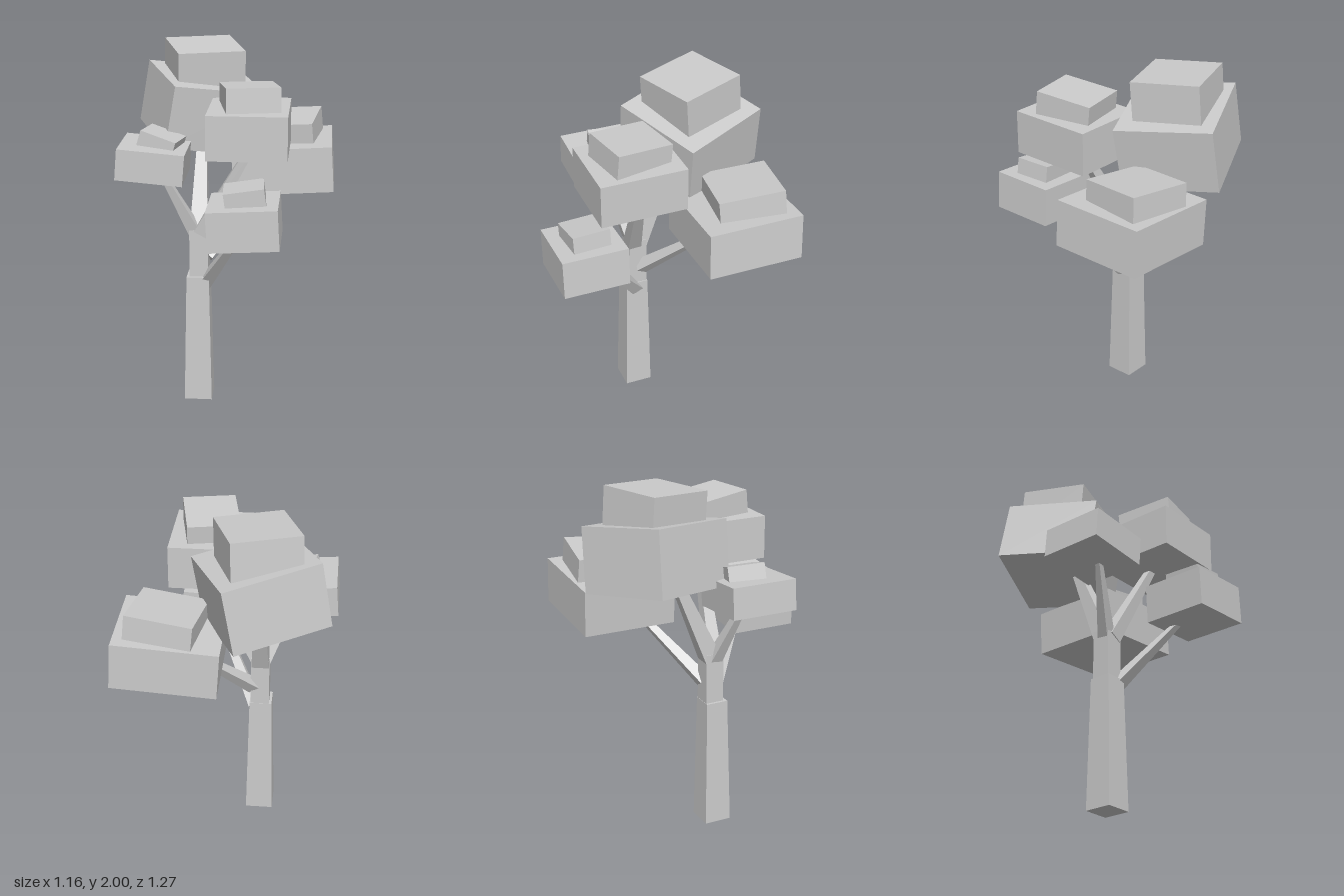
import * as THREE from 'three';

const V = (a) => new THREE.Vector3(...a);

export function createModel() {
  const tree = new THREE.Group();
  tree.name = 'tree';
  const material = new THREE.MeshStandardMaterial({ color: 0xcccccc, flatShading: true });

  // Square tapered limb between two points; r0 and r1 are half widths
  function limb(name, from, to, r0, r1) {
    const a = V(from), b = V(to), dir = b.clone().sub(a);
    const geo = new THREE.CylinderGeometry(r1 * Math.SQRT2, r0 * Math.SQRT2, dir.length(), 4);
    geo.rotateY(Math.PI / 4);
    const mesh = new THREE.Mesh(geo, material);
    mesh.name = name;
    mesh.position.copy(a).add(b).multiplyScalar(0.5);
    mesh.quaternion.setFromUnitVectors(new THREE.Vector3(0, 1, 0), dir.normalize());
    tree.add(mesh);
  }

  // Leaf block hung from its top centre, with its right and front edges as vectors
  function block(name, top, right, front, height) {
    const x = V(right), z = V(front);
    const geo = new THREE.BoxGeometry(x.length(), height, z.length());
    geo.translate(0, -height / 2, 0);
    const mesh = new THREE.Mesh(geo, material);
    mesh.name = name;
    x.normalize();
    const y = z.clone().cross(x).normalize();
    z.crossVectors(x, y);
    mesh.quaternion.setFromRotationMatrix(new THREE.Matrix4().makeBasis(x, y, z));
    mesh.position.copy(V(top));
    tree.add(mesh);
  }

  // Trunk
  limb('lowerTrunk', [-0.165, 0, 0.073], [-0.165, 0.74, 0.07], 0.078, 0.063);
  limb('upperTrunk', [-0.16, 0.7, 0.062], [-0.16, 1.025, 0.062], 0.053, 0.052);

  // Branches
  limb('backBranch', [-0.16, 0.99, 0.058], [-0.163, 1.46, -0.15], 0.05, 0.026);
  limb('rightBranch', [-0.18, 0.99, 0.075], [-0.36, 1.37, 0.17], 0.034, 0.014);
  limb('leftBranch', [-0.15, 0.99, 0.08], [0.15, 1.53, 0.14], 0.04, 0.02);
  limb('frontBranch', [-0.13, 0.69, 0.07], [0.1, 1.09, 0.36], 0.034, 0.015);
  limb('leftBackBranch', [-0.12, 0.84, 0.04], [0.2, 1.2, -0.23], 0.034, 0.016);

  // Foliage: each clump is a large block with a smaller one on top
  block('rightFoliage', [-0.388, 1.512, 0.16], [0.361, -0.03, 0], [0, 0, 0.37], 0.17);
  block('rightFoliageCap', [-0.342, 1.568, 0.139], [0.191, -0.058, 0.037], [-0.043, 0.011, 0.198], 0.15);

  block('leftBackFoliage', [0.285, 1.436, -0.34], [0.56, 0.036, 0], [0, 0, 0.53], 0.258);
  block('leftBackFoliageCap', [0.297, 1.558, -0.375], [0.356, 0.03, 0.05], [-0.053, -0.026, 0.355], 0.18);

  block('backFoliage', [-0.145, 1.8, -0.267], [0.485, -0.079, -0.216], [0.207, -0.053, 0.488], 0.355);
  block('backFoliageCap', [-0.157, 1.985, -0.262], [0.357, 0, -0.121], [0.124, -0.03, 0.356], 0.27);

  block('leftFoliage', [0.125, 1.735, 0.192], [0.426, 0, 0], [0, 0, 0.477], 0.24);
  block('leftFoliageCap', [0.125, 1.851, 0.183], [0.283, 0, -0.055], [0.06, 0.03, 0.317], 0.18);

  block('frontFoliage', [0.114, 1.289, 0.453], [0.371, 0.021, 0], [0, 0, 0.367], 0.217);
  block('frontFoliageCap', [0.113, 1.372, 0.452], [0.21, 0.03, -0.013], [0.012, 0, 0.21], 0.15);

  return tree;
}
